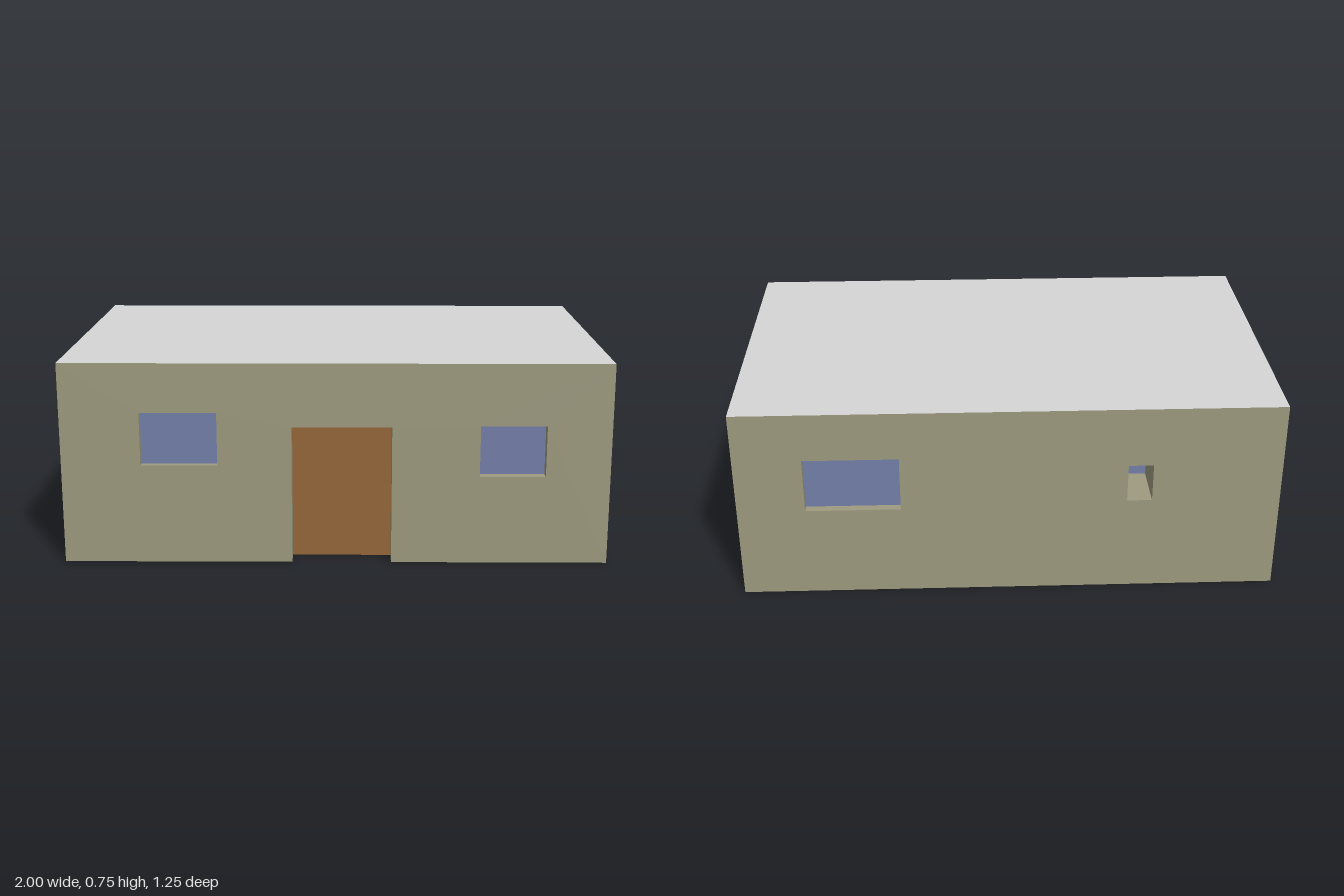
import * as THREE from 'three';

const W = 2, H = 0.75, D = 1.25, SKIN = 0.004;
const FRONT_DEPTH = 0.08, BACK_DEPTH = 0.2;

const mat = (name, color) => {
  const m = new THREE.MeshStandardMaterial({ color });
  m.name = name;
  return m;
};

const polygon = (Type, points) => new Type(points.map(([x, y]) => new THREE.Vector2(x, y)));
const rect = ([x0, x1, y0, y1]) => [[x0, y0], [x1, y0], [x1, y1], [x0, y1]];

export function createModel() {
  const house = new THREE.Group();
  house.name = 'house';
  const wall = mat('wallOlive', 0x9e9b80);
  const slab = mat('slabGrey', 0xd6d6d6);
  const glass = mat('windowBlue', 0x7480aa);
  const wood = mat('doorBrown', 0x96673a);

  const add = (name, geometry, material, x = 0, y = 0, z = 0) => {
    const mesh = new THREE.Mesh(geometry, material);
    mesh.name = name;
    mesh.position.set(x, y, z);
    house.add(mesh);
    return mesh;
  };
  const extrude = (outline, holes, depth) => {
    const shape = polygon(THREE.Shape, outline);
    shape.holes = holes.map((h) => polygon(THREE.Path, rect(h).reverse()));
    return new THREE.ExtrudeGeometry(shape, { depth, bevelEnabled: false });
  };

  // Openings as x0, x1, y0, y1
  const door = [-0.16, 0.205, 0, 0.515];
  const frontWindows = [
    { name: 'frontWindowRight', r: [-0.71, -0.43, 0.37, 0.567], depth: 0.028 },
    { name: 'frontWindowLeft', r: [0.525, 0.765, 0.33, 0.52], depth: 0.04 },
  ];
  const backWindows = [
    { name: 'backWindowLarge', r: [0.4, 0.75, 0.354, 0.565], depth: 0.032 },
    { name: 'backWindowSmall', r: [-0.525, -0.433, 0.373, 0.52], depth: BACK_DEPTH - 0.006 },
  ];

  // Solid middle of the house
  const zBack = -D / 2 + BACK_DEPTH, zFront = D / 2 - FRONT_DEPTH;
  add('core', new THREE.BoxGeometry(W, H - 2 * SKIN, zFront - zBack), wall, 0, H / 2, (zFront + zBack) / 2);

  // Front wall with door notch and window openings
  const top = H - SKIN;
  const [d0, d1, , dTop] = door;
  const frontOutline = [[-1, SKIN], [d0, SKIN], [d0, dTop], [d1, dTop], [d1, SKIN], [1, SKIN], [1, top], [-1, top]];
  add('frontWall', extrude(frontOutline, frontWindows.map((w) => w.r), FRONT_DEPTH), wall, 0, 0, zFront);

  // Back wall with a shallow window and a deep small one
  add('backWall', extrude(rect([-1, 1, SKIN, top]), backWindows.map((w) => w.r), BACK_DEPTH), wall, 0, 0, -D / 2);

  // Flush roof and floor skins, with wall-coloured edges
  add('roof', new THREE.BoxGeometry(W, SKIN, D), [wall, wall, slab, slab, wall, wall], 0, H - SKIN / 2, 0);
  const floorOutline = [[-1, -D / 2], [d0, -D / 2], [d0, -zFront], [d1, -zFront], [d1, -D / 2], [1, -D / 2], [1, D / 2], [-1, D / 2]];
  add('floor', extrude(floorOutline, [], SKIN), [slab, wall]).rotation.x = -Math.PI / 2;

  // Door and window panes set into their recesses
  const pane = (name, [x0, x1, y0, y1], z, material) =>
    add(name, new THREE.BoxGeometry(x1 - x0, y1 - y0, 0.004), material, (x0 + x1) / 2, (y0 + y1) / 2, z);
  pane('door', door, zFront + 0.001, wood);
  frontWindows.forEach((w) => pane(w.name, w.r, D / 2 - w.depth - 0.002, glass));
  backWindows.forEach((w) => pane(w.name, w.r, -D / 2 + w.depth + 0.002, glass));

  return house;
}
